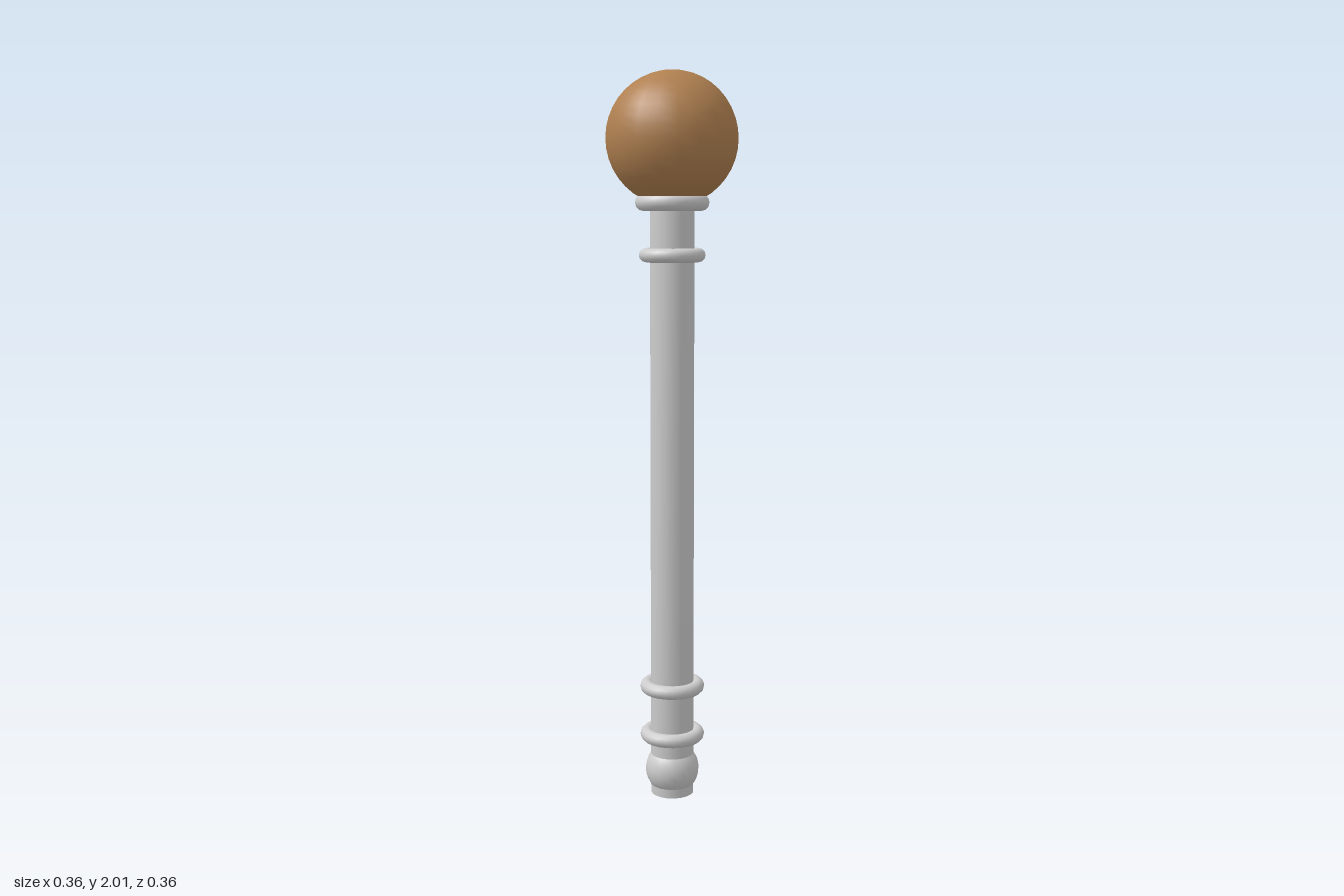
import * as THREE from 'three';

export function createModel() {
  const model = new THREE.Group();
  const wood = new THREE.MeshStandardMaterial({ name: 'brownWood', color: 0xb08050 });
  const metal = new THREE.MeshStandardMaterial({ name: 'paleMetal', color: 0xcccccc });

  const add = (name, geometry, material, y) => {
    const mesh = new THREE.Mesh(geometry, material);
    mesh.name = name;
    mesh.position.y = y;
    model.add(mesh);
    return mesh;
  };

  // Closed shaft with normals softened over the end edges
  const profile = [[0, 0], [0.06, 0], [0.06, 1.67], [0, 1.67]].map(([r, y]) => new THREE.Vector2(r, y));
  add('shaft', new THREE.LatheGeometry(profile, 20), metal, 0);

  // Round knob on top and small bulb near the foot
  add('knob', new THREE.SphereGeometry(0.178, 20, 20), wood, 1.822);
  add('footBulb', new THREE.SphereGeometry(0.075, 20, 16), metal, 0.07);

  // Collar rings: name, height, ring radius, tube radius
  const rings = [
    ['knobCollar', 1.654, 0.077, 0.023],
    ['upperRing', 1.514, 0.071, 0.019],
    ['lowerRing', 0.312, 0.071, 0.019],
    ['footRing', 0.172, 0.071, 0.019],
  ];
  for (const [name, y, radius, tube] of rings) {
    add(name, new THREE.TorusGeometry(radius, tube, 12, 24).rotateX(Math.PI / 2), metal, y);
  }
  return model;
}
